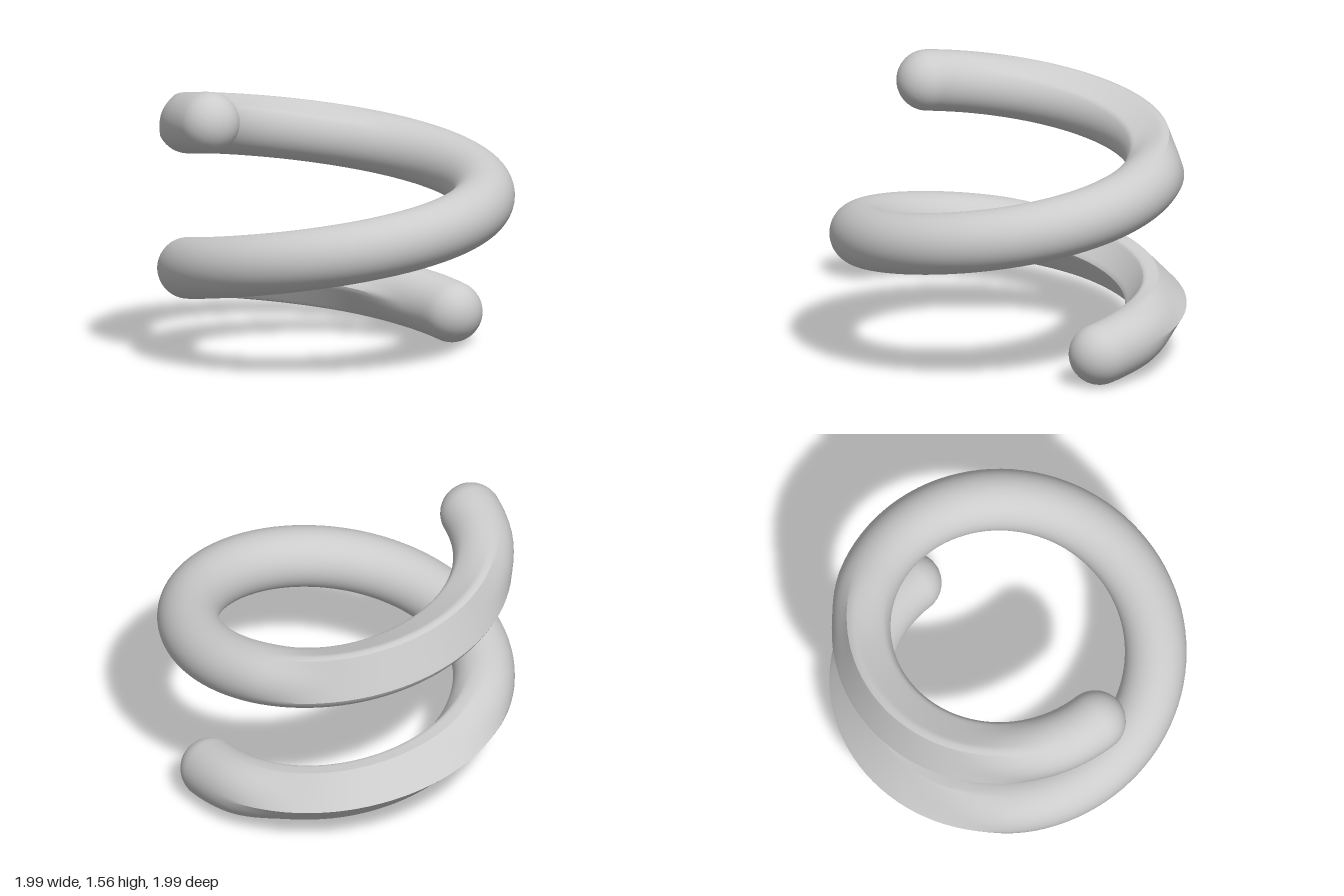
import * as THREE from 'three';
import { toCreasedNormals } from 'three/addons/utils/BufferGeometryUtils.js';

const SIDES = 72, STEPS = 150, CAP = 9;
const COIL = 0.825, TUBE = 0.172;
const rad = THREE.MathUtils.degToRad;
const START = rad(3), END = rad(537);

// Flats cut along the back of each turn: [angle of the flat's normal, distance from the core]
const lowerFlats = [[45, 0.122], [-45, 0.122], [90, 0.158], [-90, 0.158], [145, 0.145], [-145, 0.145]];
const upperFlats = [[20, 0.122], [110, 0.145]];

// Fades the flats in and out between two angles on the coil
function fade(deg, from, to) {
  const s = THREE.MathUtils.smoothstep;
  return s(deg, from, from + 35) * (1 - s(deg, to - 45, to));
}

function cut(theta, flats) {
  let r = TUBE;
  for (const [a, d] of flats) {
    const c = Math.cos(theta - rad(a));
    if (c > 0.1) r = Math.min(r, d / c);
  }
  return r;
}

// Radius of the section at angle theta (0 = outwards, 90 = up)
function sectionRadius(theta, phi) {
  const deg = THREE.MathUtils.radToDeg(phi);
  const low = fade(deg, 18, 150), high = fade(deg, 390, 525);
  return TUBE + low * (cut(theta, lowerFlats) - TUBE) + high * (cut(theta, upperFlats) - TUBE);
}

function core(phi) {
  const u = (phi - START) / (END - START);
  const r = COIL - 0.02 * (1 - THREE.MathUtils.smoothstep(u, 0, 0.12));
  return new THREE.Vector3(r * Math.cos(phi), 0.174 + 1.218 * u, -r * Math.sin(phi));
}

function coilGeometry() {
  // Stations: round start cap, helix, round end cap
  const stations = [];
  for (let i = 0; i < CAP; i++) {
    const a = (i / CAP) * Math.PI / 2;
    stations.push({ phi: START, push: -TUBE * Math.cos(a), scale: Math.max(Math.sin(a), 0.001) });
  }
  for (let i = 0; i <= STEPS; i++) {
    stations.push({ phi: START + (END - START) * i / STEPS, push: 0, scale: 1 });
  }
  for (let i = CAP - 1; i >= 0; i--) {
    const a = (i / CAP) * Math.PI / 2;
    stations.push({ phi: END, push: TUBE * Math.cos(a), scale: Math.max(Math.sin(a), 0.001) });
  }

  const pos = [], index = [];
  stations.forEach(({ phi, push, scale }, i) => {
    const out = new THREE.Vector3(Math.cos(phi), 0, -Math.sin(phi));
    const rise = (phi === START || phi === END) ? 0.03 : 0.16;
    const along = new THREE.Vector3(-Math.sin(phi), rise, -Math.cos(phi)).normalize();
    const up = new THREE.Vector3().crossVectors(along, out).normalize();
    if (up.y < 0) up.negate();
    const c = core(phi).addScaledVector(along, push);
    for (let j = 0; j < SIDES; j++) {
      const t = (j / SIDES) * Math.PI * 2;
      const r = sectionRadius(t, phi) * scale;
      const p = c.clone().addScaledVector(out, r * Math.cos(t)).addScaledVector(up, r * Math.sin(t));
      pos.push(p.x, p.y, p.z);
      if (i < stations.length - 1) {
        const a = i * SIDES + j, b = i * SIDES + (j + 1) % SIDES;
        index.push(a, a + SIDES, b, b, a + SIDES, b + SIDES);
      }
    }
  });
  const g = new THREE.BufferGeometry();
  g.setAttribute('position', new THREE.Float32BufferAttribute(pos, 3));
  g.setIndex(index);
  return toCreasedNormals(g, rad(30));
}

export function createModel() {
  const group = new THREE.Group();
  group.name = 'spiralCoil';
  const coil = new THREE.Mesh(coilGeometry(), new THREE.MeshStandardMaterial({ color: 0xcccccc }));
  coil.name = 'coil';
  group.add(coil);
  return group;
}
